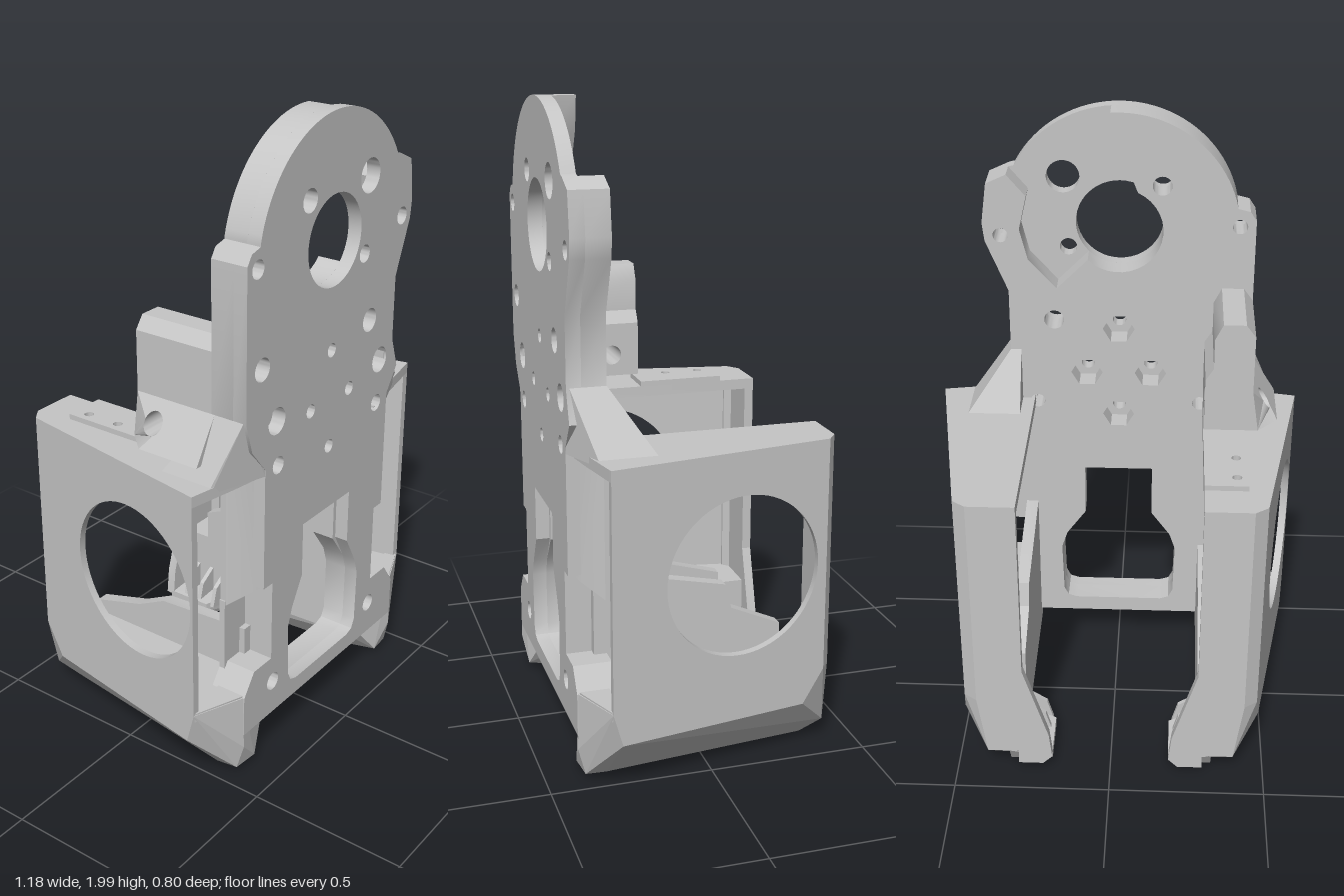
import * as THREE from 'three';
import { toCreasedNormals } from 'three/addons/utils/BufferGeometryUtils.js';
import { ConvexGeometry } from 'three/addons/geometries/ConvexGeometry.js';

const grey = new THREE.MeshStandardMaterial({ color: 0xc6c6c6 });
grey.name = 'grey plastic';

const V = (p) => new THREE.Vector3(...p);
const poly = (pts) => new THREE.Shape(pts.map((p) => new THREE.Vector2(...p)));
const mirrorX = (pts) => pts.map(([x, y]) => [-x, y]).reverse();

function circle(x, y, r, sides = 32) {
  const pts = [];
  for (let i = 0; i < sides; i++) {
    const a = (i / sides) * Math.PI * 2;
    pts.push([x + r * Math.cos(a), y + r * Math.sin(a)]);
  }
  return poly(pts);
}

// Arc points from angle a to b (degrees)
function arc(cx, cy, r, a, b, n) {
  return Array.from({ length: n + 1 }, (_, i) => {
    const t = THREE.MathUtils.degToRad(a + ((b - a) * i) / n);
    return [cx + r * Math.cos(t), cy + r * Math.sin(t)];
  });
}

// Extrudes a shape, places its vertices by a rule and keeps the faces outward
function solid(name, shape, depth, rule) {
  const geo = new THREE.ExtrudeGeometry(shape, { depth, bevelEnabled: false });
  const p = geo.attributes.position;
  for (let i = 0; i < p.count; i++) p.setXYZ(i, ...rule(p.getX(i), p.getY(i), p.getZ(i)));
  let volume = 0;
  const at = (i) => new THREE.Vector3().fromBufferAttribute(p, i);
  for (let i = 0; i < p.count; i += 3) volume += at(i).dot(at(i + 1).cross(at(i + 2)));
  if (volume < 0) {
    for (let i = 0; i < p.count; i += 3) {
      const b = at(i + 1), c = at(i + 2);
      p.setXYZ(i + 1, c.x, c.y, c.z);
      p.setXYZ(i + 2, b.x, b.y, b.z);
    }
  }
  geo.computeVertexNormals();
  const mesh = new THREE.Mesh(toCreasedNormals(geo, 0.5), grey);
  mesh.name = name;
  return mesh;
}

function hull(name, pts, s) {
  const mesh = new THREE.Mesh(new ConvexGeometry(pts.map(([x, y, z]) => V([s * x, y, z]))), grey);
  mesh.name = name;
  return mesh;
}

const upright = (z0) => (x, y, d) => [x, y, z0 + d];
const flat = (s, y0) => (x, z, d) => [s * x, y0 + d, z];

function buildPlate(group) {
  const lowerRight = [[0.2, 0.145], [0.43, 0.145], [0.43, 0.28], [0.38, 0.35], [0.29, 0.35],
    [0.29, 0.62], [0.335, 0.62], [0.335, 1.02]];
  const lowerLeft = mirrorX(lowerRight);
  const rightSide = [[0.39, 1.1], [0.355, 1.2], [0.355, 1.41], [0.425, 1.58], [0.432, 1.64], [0.415, 1.77], [0.35, 1.8]];
  const leftSide = [[-0.37, 1.7], [-0.41, 1.69], [-0.43, 1.66], [-0.43, 1.2], [-0.4, 1.1]];
  const cutout = (w) => {
    const half = [[0.15, 0.2], [0.18, 0.21], [0.195, 0.24], [0.2, 0.42], [0.18, 0.48], [w, 0.57], [w, 0.75]];
    return poly([...half, ...mirrorX(half)]);
  };
  const through = [[-0.38, 1.64, 0.028], [0.375, 1.6, 0.028], [-0.355, 1.34, 0.036],
    [0.21, 1.31, 0.038], [-0.27, 1.01, 0.028], [0.27, 1.01, 0.028], [-0.135, 1.77, 0.036]];
  const screws = [[0, 1.28], [-0.105, 1.12], [0.105, 1.12], [0, 0.965]];
  const blind = [[-0.28, 1.155, 0.042], [0.28, 1.155, 0.042], [-0.28, 0.26, 0.03], [0.28, 0.26, 0.03]];

  // Front skin
  const front = poly([...lowerRight, ...rightSide, ...arc(0, 1.62, 0.38, 29, 167, 36), ...leftSide, ...lowerLeft]);
  front.holes.push(cutout(0.13), circle(0, 1.62, 0.14, 48), circle(0.18, 1.77, 0.053), circle(0.165, 1.535, 0.028),
    ...[...through, ...blind].map((h) => circle(...h)), ...screws.map(([x, y]) => circle(x, y, 0.022)));
  group.add(solid('frontPlate', front, 0.045, upright(0.355)));

  // Rear layer, left open around the upper pocket, with hexagonal nut seats
  const rear = poly([...lowerRight, ...rightSide,
    [0.29, 1.73], [0.315, 1.62], [0.29, 1.52], [0.2, 1.42],
    ...arc(0, 1.62, 0.14, -45, -245, 20), [-0.03, 1.82], [0.01, 1.9],
    ...arc(0, 1.62, 0.38, 86, 167, 24), ...leftSide, ...lowerLeft]);
  rear.holes.push(cutout(0.115), ...through.map(([x, y, r]) => circle(x, y, r * 0.85)),
    ...screws.map(([x, y]) => circle(x, y, 0.052, 6)));
  group.add(solid('rearRim', rear, 0.075, upright(0.28)));
}

function buildArm(s, holeZ) {
  const arm = new THREE.Group();
  arm.name = s > 0 ? 'leftArm' : 'rightArm';
  const outer = (z) => 0.59 - 0.17 * (0.33 - z);

  // Slanted side wall with the fan opening
  const wall = poly([[0.33, 1.02], [-0.37, 1.02], [-0.37, 0.28], [0.33, 0.28]]);
  wall.holes.push(circle(holeZ, 0.635, 0.25, 64));
  arm.add(solid('sideWall', wall, 0.025, (z, y, d) => [s * (outer(z) - d), y, z]));

  // Back wall with a bevelled corner, top cap
  arm.add(solid('backWall', poly([[0.28, -0.4], [0.43, -0.4], [0.471, -0.37], [0.471, -0.35], [0.44, -0.35],
    [0.42, -0.37], [0.28, -0.37]]), 0.74, flat(s, 0.28)));
  arm.add(solid('topCap', poly([[0.28, -0.4], [0.43, -0.4], [0.471, -0.37], [0.59, 0.33], [0.43, 0.36],
    [0.3, 0.38], [0.28, 0.3]]), 0.035, flat(s, 0.985)));

  // Bevelled duct base
  arm.add(hull('ductBase', [
    [0.59, 0.28, 0.33], [0.471, 0.28, -0.37], [0.43, 0.28, -0.4], [0.28, 0.28, -0.4], [0.28, 0.28, 0.35],
    [0.34, 0.28, 0.36], [0.43, 0.28, 0.395],
    [outer(0.3), 0.175, 0.3], [outer(-0.3), 0.175, -0.3], [0.4, 0.07, -0.4], [0.28, 0.07, -0.4],
    [0.46, 0.03, 0.32], [0.44, 0.02, 0.38], [0.36, 0.025, 0.39], [0.43, 0.1, 0.4], [0.28, 0.13, 0.36],
    [0.36, 0.015, -0.34], [0.3, 0.01, -0.34], [0.34, 0.01, 0.25], [0.28, 0.1, 0.3]], s));

  // Nozzle lips and vanes facing inward
  arm.add(hull('nozzleLip', [
    [0.19, 0.06, -0.38], [0.19, 0.03, -0.38], [0.19, 0.06, -0.22], [0.19, 0.03, -0.22], [0.22, 0.005, -0.36],
    [0.22, 0.005, -0.22], [0.33, 0.005, -0.36], [0.33, 0.005, -0.18], [0.33, 0.07, -0.4], [0.3, 0.07, -0.18]], s));
  arm.add(solid('nozzleCheek', poly([[0.3, 0.02], [0.22, 0.02], [0.19, 0.05], [0.2, 0.14], [0.28, 0.4], [0.3, 0.4]]),
    0.03, (x, y, d) => [s * x, y, -0.4 + d]));
  for (const z of [-0.33, -0.27, -0.21]) {
    arm.add(hull('nozzleVane', [[0.2, 0.05, z], [0.2, 0.05, z + 0.015], [0.22, 0.12, z], [0.22, 0.12, z + 0.015],
      [0.3, 0.17, z], [0.3, 0.17, z + 0.015], [0.3, 0.03, z], [0.3, 0.03, z + 0.015]], s));
  }

  // Inner wall with a sloping top, lower on the right arm
  const ridge = s > 0 ? [[0.32, 0.61], [0.28, 0.61], [-0.1, 0.53], [-0.12, 0.45], [-0.28, 0.38]]
    : [[0.32, 0.44], [0, 0.42], [-0.1, 0.37], [-0.28, 0.32]];
  arm.add(solid('innerWall', poly([[0.32, 0.14], ...ridge, [-0.28, 0.14]]), 0.04,
    (z, y, d) => [s * (0.28 + d), y, z]));

  // Plate flange, panel below it, and lower front rail
  arm.add(solid('plateFlange', poly([[0.28, 0.28], [0.28, 0.39], [0.335, 0.36], [0.39, 0.3], [0.39, 0.28]]),
    0.43, (x, z, d) => [s * x, d > 0 ? 0.99 : 0.54 + (z - 0.28) * 0.7, z]));
  const panelEdge = s > 0 ? 0.32 : 0.395;
  arm.add(solid('flangePanel', poly([[0.28, 0.28], [panelEdge, 0.28], [panelEdge, 0.3], [0.28, 0.3]]),
    0.3, flat(s, 0.27)));
  arm.add(solid('frontRail', poly([[0.34, 0.3], [0.34, 0.395], [0.42, 0.395], [0.585, 0.33], [0.56, 0.3]]),
    0.03, flat(s, 0.255)));

  // Gusset joining the plate to the arm
  const top = s > 0 ? 0.355 : 0.43, foot = s > 0 ? 0.49 : 0.515;
  arm.add(hull('gusset', [
    [top, 1.2, 0.39], [top, 1.2, 0.28], [0.32, 1.2, 0.28], [0.32, 1.2, 0.39], [0.32, 1, 0.4], [0.335, 1, 0.4],
    [foot, 1.02, 0.34], [foot, 1, 0.34], [foot, 1.02, 0.165], [foot, 1, 0.165], [0.32, 1.02, 0.165],
    [0.32, 1, 0.165]], s));
  return arm;
}

export function createModel() {
  const model = new THREE.Group();
  model.name = 'fanMount';
  buildPlate(model);
  model.add(buildArm(1, -0.09), buildArm(-1, 0.07));

  // Sensor bracket behind the plate: clamp above, flared foot with a cross hole below
  model.add(solid('bracketClamp', poly([[-0.43, 1.2], [-0.28, 1.2], [-0.28, 1.24], [-0.305, 1.28], [-0.305, 1.38],
    [-0.33, 1.43], [-0.4, 1.43], [-0.43, 1.39]]), 0.28, upright(0.01)));
  const foot = poly([[0.01, 1.065], [0.08, 1.065], [0.29, 1.065], [0.29, 1.2], [0.01, 1.2]]);
  foot.holes.push(circle(0.1, 1.135, 0.032));
  model.add(solid('bracketFoot', foot, 0.15, (z, y, d) => {
    const flare = (1.2 - y) * (z < 0.05 ? 0.15 : 0.63);
    return [d > 0 ? -0.43 - flare : -0.28, y, z];
  }));

  // Screw pad on the right arm
  const pad = poly([[-0.415, -0.28], [-0.28, -0.28], [-0.28, 0], [-0.415, 0]]);
  pad.holes.push(circle(-0.38, -0.23, 0.015, 16), circle(-0.38, -0.115, 0.015, 16));
  model.add(solid('screwPad', pad, 0.02, flat(1, 1.017)));
  return model;
}
